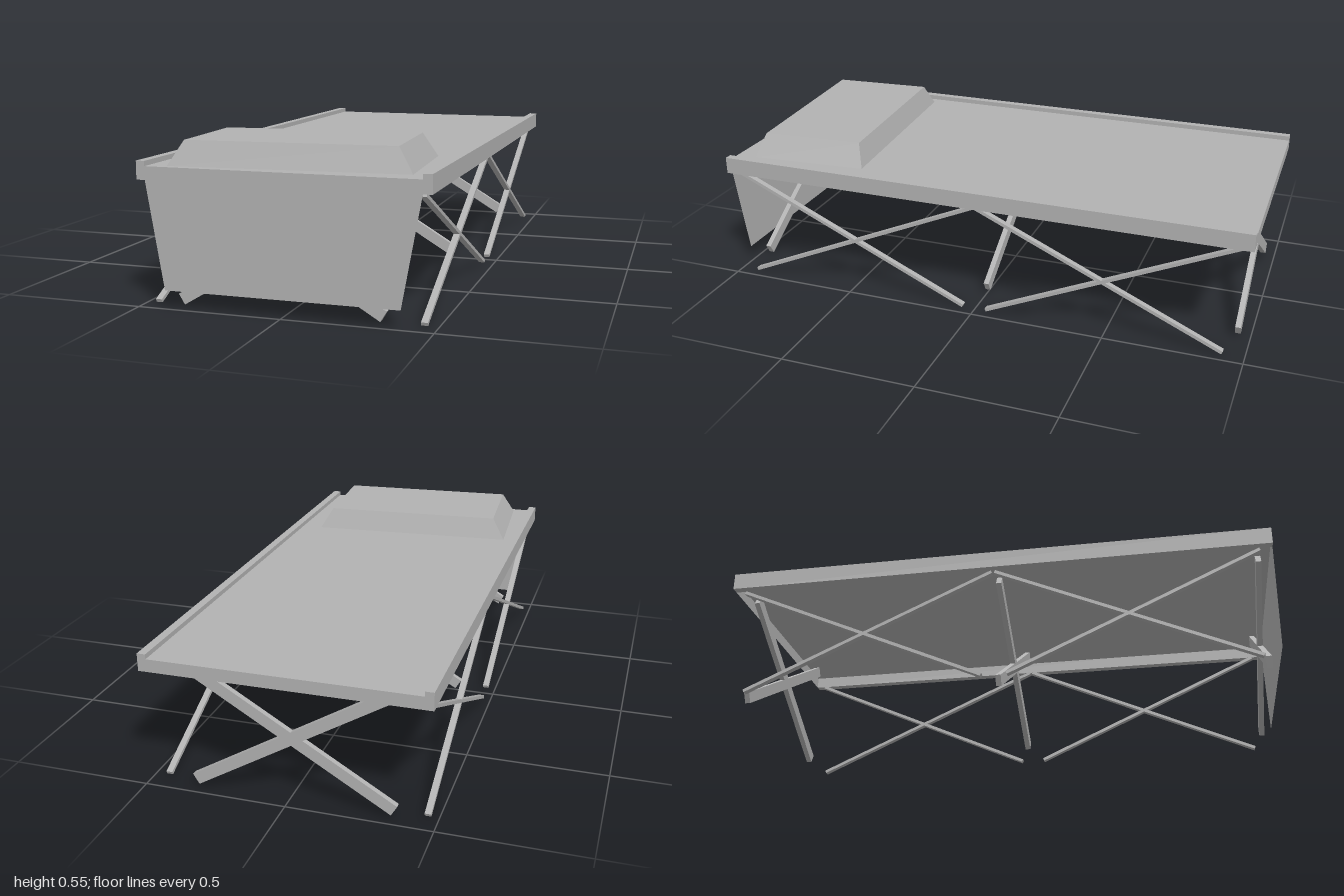
import * as THREE from 'three';

const grey = new THREE.MeshStandardMaterial({ color: 0xb2b2b2, side: THREE.DoubleSide });
grey.name = 'plain grey';

export function createModel() {
  const group = new THREE.Group();
  group.name = 'foldingCot';

  function add(name, geometry, x = 0, y = 0, z = 0) {
    const mesh = new THREE.Mesh(geometry, grey);
    mesh.name = name;
    mesh.position.set(x, y, z);
    group.add(mesh);
    return mesh;
  }

  // Side rails, standing slightly proud of the fabric
  for (const x of [-0.477, 0.477]) {
    add('sideRail', new THREE.BoxGeometry(0.03, 0.062, 2), x, 0.456, 0);
  }

  // Stretched fabric: thin sheet, open underneath
  add('fabricSheet', new THREE.PlaneGeometry(0.924, 2).rotateX(-Math.PI / 2), 0, 0.47, 0);

  // Short lip at the foot end
  add('footLip', new THREE.PlaneGeometry(0.924, 0.045).rotateY(Math.PI), 0, 0.4475, -1);

  // Tapered flap hanging at the head end
  const flap = new THREE.Shape([
    [-0.462, 0.47], [-0.462, 0.425], [-0.402, 0.064],
    [0.395, 0.064], [0.462, 0.425], [0.462, 0.47],
  ].map(([x, y]) => new THREE.Vector2(x, y)));
  add('headFlap', new THREE.ShapeGeometry(flap), 0, 0, 1);

  // Pillow: box with its upper face drawn in, turned a little askew
  const pillow = new THREE.BoxGeometry(0.807, 0.083, 0.441);
  const p = pillow.attributes.position;
  for (let i = 0; i < p.count; i++) {
    if (p.getY(i) > 0) {
      p.setX(i, p.getX(i) * 0.876);
      p.setZ(i, p.getZ(i) * 0.876);
    }
  }
  pillow.computeVertexNormals();
  add('pillow', pillow, -0.007, 0.5115, 0.728).rotation.y = 0.068;

  // Three pairs of crossed legs spanning the width
  for (const z of [-0.955, 0, 0.955]) {
    for (const side of [-1, 1]) {
      const leg = add('crossLeg', new THREE.BoxGeometry(0.804, 0.041, 0.02), -0.015, 0.235, z);
      leg.rotation.z = side * 0.538;
    }
  }

  // Crossed slender bars along each side: [top z, bottom z]
  const spans = [[0.955, 0.048], [0.003, 0.932], [-0.008, -0.922], [-0.958, -0.043]];
  const top = 0.416, bottom = 0.007;
  for (const x of [-0.462, 0.4525]) {
    for (const [zTop, zBottom] of spans) {
      const dz = zTop - zBottom, dy = top - bottom;
      const bar = add('sideBrace', new THREE.BoxGeometry(0.022, 0.012, Math.hypot(dz, dy)),
        x, (top + bottom) / 2, (zTop + zBottom) / 2);
      bar.rotation.x = -Math.atan(dy / dz);
    }
  }

  return group;
}
